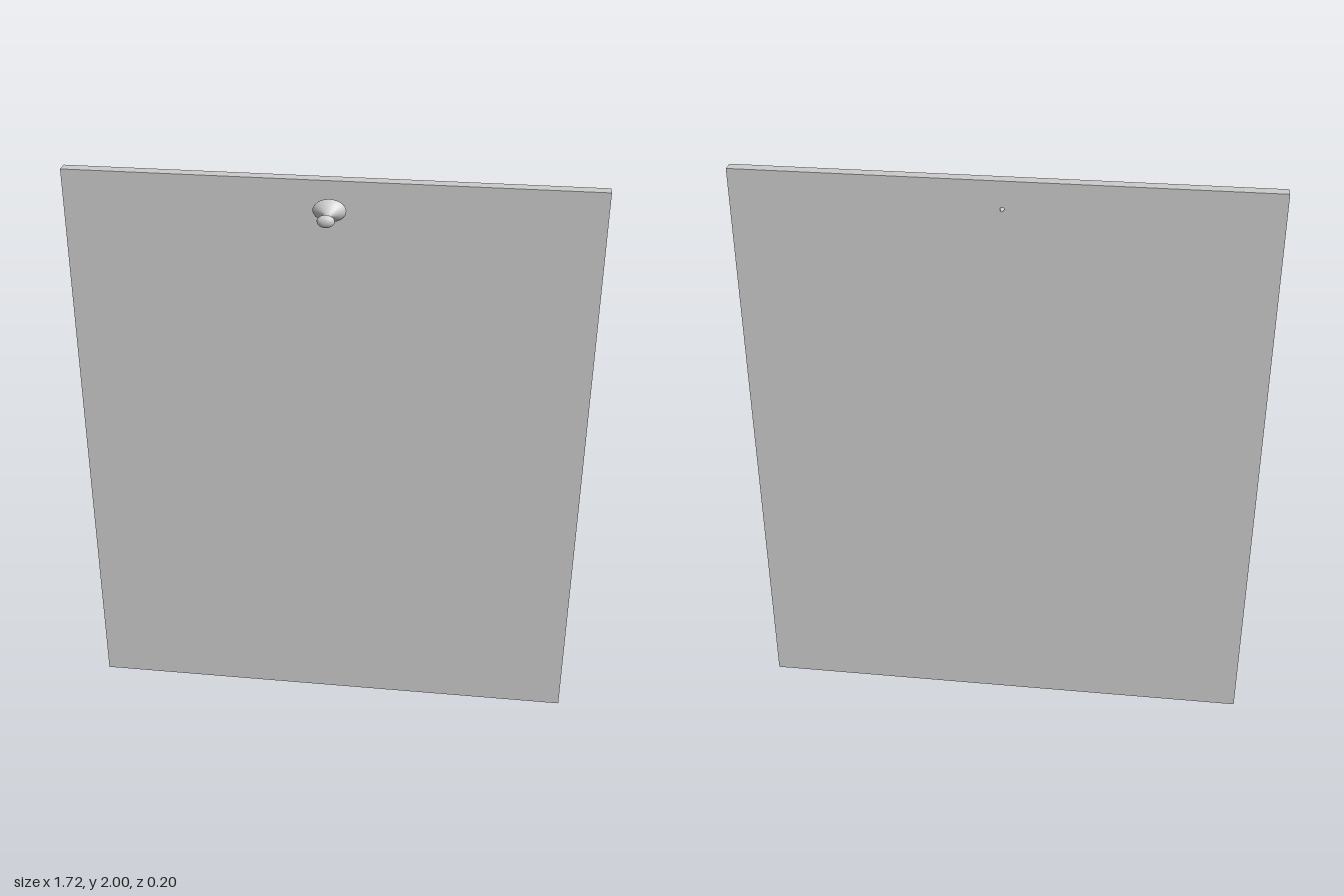
import * as THREE from 'three';

export function createModel() {
  const group = new THREE.Group();
  const material = new THREE.MeshStandardMaterial({ color: 0xcccccc });

  // Flat upright panel
  const panel = new THREE.Mesh(new THREE.BoxGeometry(1.72, 2, 0.04), material);
  panel.name = 'panel';
  panel.position.set(0, 1, -0.05);
  group.add(panel);

  // Turned parts: profile of [radius, z] from back to front, flattened in height
  const turned = (name, profile) => {
    const points = profile.map(([r, z]) => new THREE.Vector2(r, z));
    const geometry = new THREE.LatheGeometry(points, 40);
    geometry.rotateX(Math.PI / 2);
    geometry.scale(1, 0.7, 1);
    const mesh = new THREE.Mesh(geometry, material);
    mesh.name = name;
    mesh.position.y = 1.91;
    group.add(mesh);
  };

  // Pin through the panel, ending in a point
  turned('pin', [[0, -0.1], [0.007, -0.075], [0.008, -0.03], [0.008, -0.015]]);

  // Collar between panel and knob
  turned('collar', [[0, -0.036], [0.017, -0.035], [0.017, -0.015]]);

  // Flared base, slim neck and rounded end cap
  turned('knob', [
    [0, -0.013], [0.022, -0.015], [0.040, -0.018], [0.047, -0.017], [0.052, -0.013], [0.053, -0.008],
    [0.050, -0.003], [0.041, 0.005], [0.028, 0.016], [0.017, 0.027], [0.011, 0.036],
    [0.009, 0.046], [0.009, 0.062], [0.012, 0.069], [0.021, 0.072],
    [0.027, 0.077], [0.028, 0.083], [0.026, 0.090], [0.019, 0.095], [0.009, 0.098], [0, 0.098],
  ]);

  return group;
}
